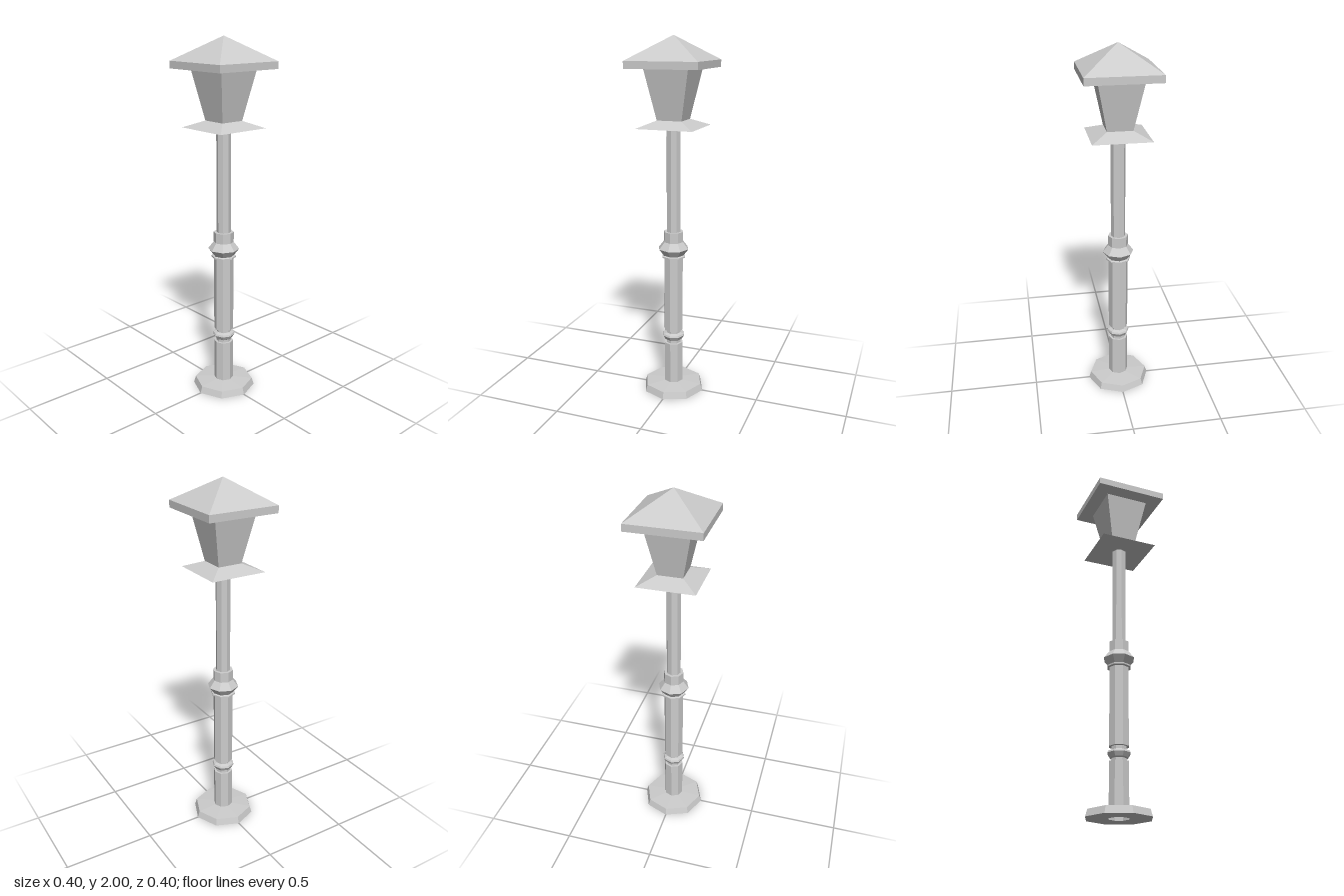
import * as THREE from 'three';

const material = new THREE.MeshStandardMaterial({
  color: 0xcccccc, flatShading: true, side: THREE.DoubleSide,
});

export function createModel() {
  const model = new THREE.Group();

  function add(name, geometry) {
    const mesh = new THREE.Mesh(geometry, material);
    mesh.name = name;
    model.add(mesh);
    return mesh;
  }

  // Eight-sided turned part from [radius, height] pairs, bottom to top
  function octagonal(name, profile) {
    const points = profile.map(([r, y]) => new THREE.Vector2(r, y));
    return add(name, new THREE.LatheGeometry(points, 8));
  }

  // Square tapered part between two heights, given by half widths
  function square(name, bottomHalf, topHalf, y0, y1, open = false) {
    const g = new THREE.CylinderGeometry(
      topHalf * Math.SQRT2, bottomHalf * Math.SQRT2, y1 - y0, 4, 1, open);
    g.rotateY(Math.PI / 4);
    g.translate(0, (y0 + y1) / 2, 0);
    return add(name, g);
  }

  // Foot plate, open in the middle where the post stands
  octagonal('footPlate', [[0.055, 0], [0.178, 0], [0.166, 0.038], [0.055, 0.046]]);

  // Hollow post: lower shaft, small ring, main shaft, large collar, thin pole
  octagonal('lowerShaft', [[0.055, 0], [0.055, 0.285], [0.042, 0.285]]);
  octagonal('lowerRing', [
    [0.042, 0.285], [0.042, 0.3], [0.05, 0.305], [0.064, 0.328],
    [0.06, 0.338], [0.042, 0.345], [0.042, 0.363],
  ]);
  octagonal('mainShaft', [[0.042, 0.363], [0.055, 0.363], [0.055, 0.797]]);
  octagonal('collar', [
    [0.055, 0.797], [0.068, 0.8], [0.068, 0.808], [0.058, 0.812],
    [0.087, 0.85], [0.056, 0.89], [0.056, 0.948], [0.04, 0.948],
  ]);
  octagonal('pole', [[0.04, 0.948], [0.04, 1.528]]);

  // Lantern
  square('lanternTray', 0.158, 0.069, 1.527, 1.565);
  square('lanternBody', 0.069, 0.122, 1.565, 1.834, true);
  square('roofRim', 0.199, 0.199, 1.834, 1.873);
  square('roof', 0.199, 0, 1.873, 2, true);

  return model;
}
